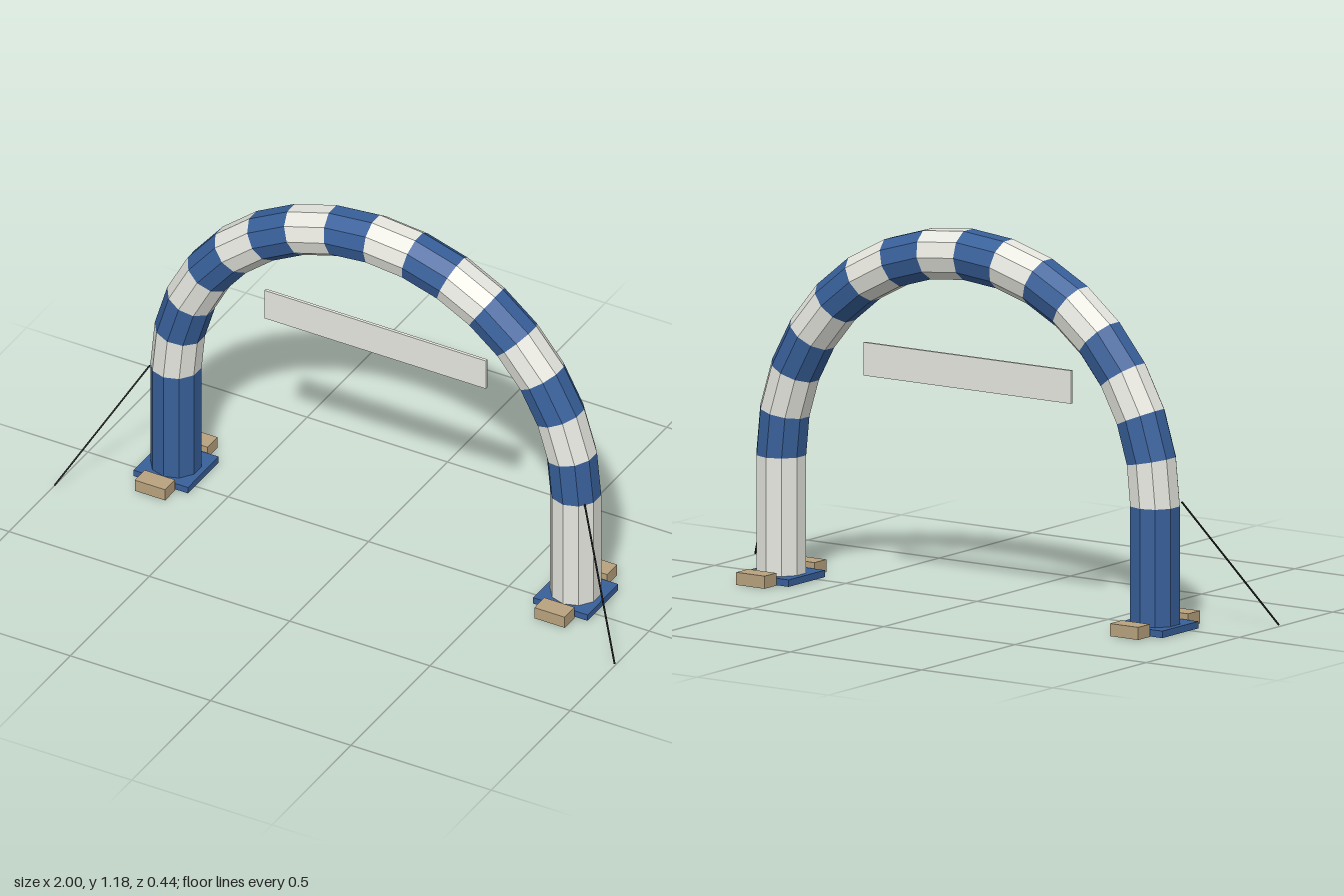
import * as THREE from 'three';

const CX = -0.003, CZ = -0.052;      // centre of the arch in plan
const SPRING = 0.395;                // height where the curve starts
const R = 0.712, TUBE = 0.081;       // arch radius and tube radius
const SIDES = 10, BANDS = 16;

const mat = (name, color) =>
  new THREE.MeshStandardMaterial({ name, color, side: THREE.DoubleSide });

// Faceted normals
function facet(geometry) {
  const g = geometry.index ? geometry.toNonIndexed() : geometry;
  g.computeVertexNormals();
  return g;
}

// Corner j of the tube section at arch angle t
function tubePoint(t, j) {
  const a = (j / SIDES) * Math.PI * 2;
  const rad = R + TUBE * Math.sin(a);
  return [CX + rad * Math.cos(t), SPRING + rad * Math.sin(t), CZ + TUBE * Math.cos(a)];
}

// One straight coloured piece of the curved tube
function bandGeometry(t0, t1) {
  const pos = [];
  for (let j = 0; j < SIDES; j++) {
    const a = tubePoint(t0, j), b = tubePoint(t0, j + 1);
    const c = tubePoint(t1, j + 1), d = tubePoint(t1, j);
    pos.push(...a, ...d, ...c, ...a, ...c, ...b);
  }
  const g = new THREE.BufferGeometry();
  g.setAttribute('position', new THREE.Float32BufferAttribute(pos, 3));
  return facet(g);
}

// Box without its underside
function openBox(w, h, d) {
  const g = new THREE.BoxGeometry(w, h, d);
  const index = Array.from(g.index.array);
  index.splice(18, 6);
  g.setIndex(index);
  g.clearGroups();
  return g;
}

export function createModel() {
  const model = new THREE.Group();
  model.name = 'inflatableArch';
  const blue = mat('blue', 0x38609a);
  const white = mat('offWhite', 0xe8e8e1);
  const tan = mat('sandTan', 0xb8a27e);
  const black = mat('ropeBlack', 0x1a1a1a);

  const add = (name, geometry, material, x = 0, y = 0, z = 0) => {
    const m = new THREE.Mesh(geometry, material);
    m.name = name;
    m.position.set(x, y, z);
    model.add(m);
    return m;
  };

  // Curved top, alternating bands from the right leg to the left leg
  for (let i = 0; i < BANDS; i++) {
    const t0 = Math.PI * (1 - i / BANDS), t1 = Math.PI * (1 - (i + 1) / BANDS);
    add('archBand' + (i + 1), bandGeometry(t0, t1), i % 2 ? blue : white);
  }

  for (const s of [-1, 1]) {
    const side = s < 0 ? 'right' : 'left';
    const x = CX + s * R;

    // Leg, foot plate and the two sandbags
    add(side + 'Leg', facet(new THREE.CylinderGeometry(TUBE, TUBE, SPRING, SIDES)),
      s < 0 ? blue : white, x, SPRING / 2, CZ);
    add(side + 'FootPlate', openBox(0.194, 0.022, 0.194), blue, x, 0.011, CZ);
    for (const f of [-1, 1]) {
      add(side + (f > 0 ? 'Front' : 'Back') + 'Sandbag', openBox(0.108, 0.04, 0.063),
        tan, x, 0.02, CZ + f * 0.134);
    }

    // Guy rope
    const rope = new THREE.LineCurve3(
      new THREE.Vector3(CX + s * 0.775, 0.403, 0.003),
      new THREE.Vector3(s * 0.998, 0.004, 0.215));
    add(side + 'GuyRope', new THREE.TubeGeometry(rope, 1, 0.003, 6), black);
  }

  // Hanging banner
  add('banner', new THREE.BoxGeometry(0.79, 0.105, 0.01), white, CX, 0.732, CZ);

  return model;
}
